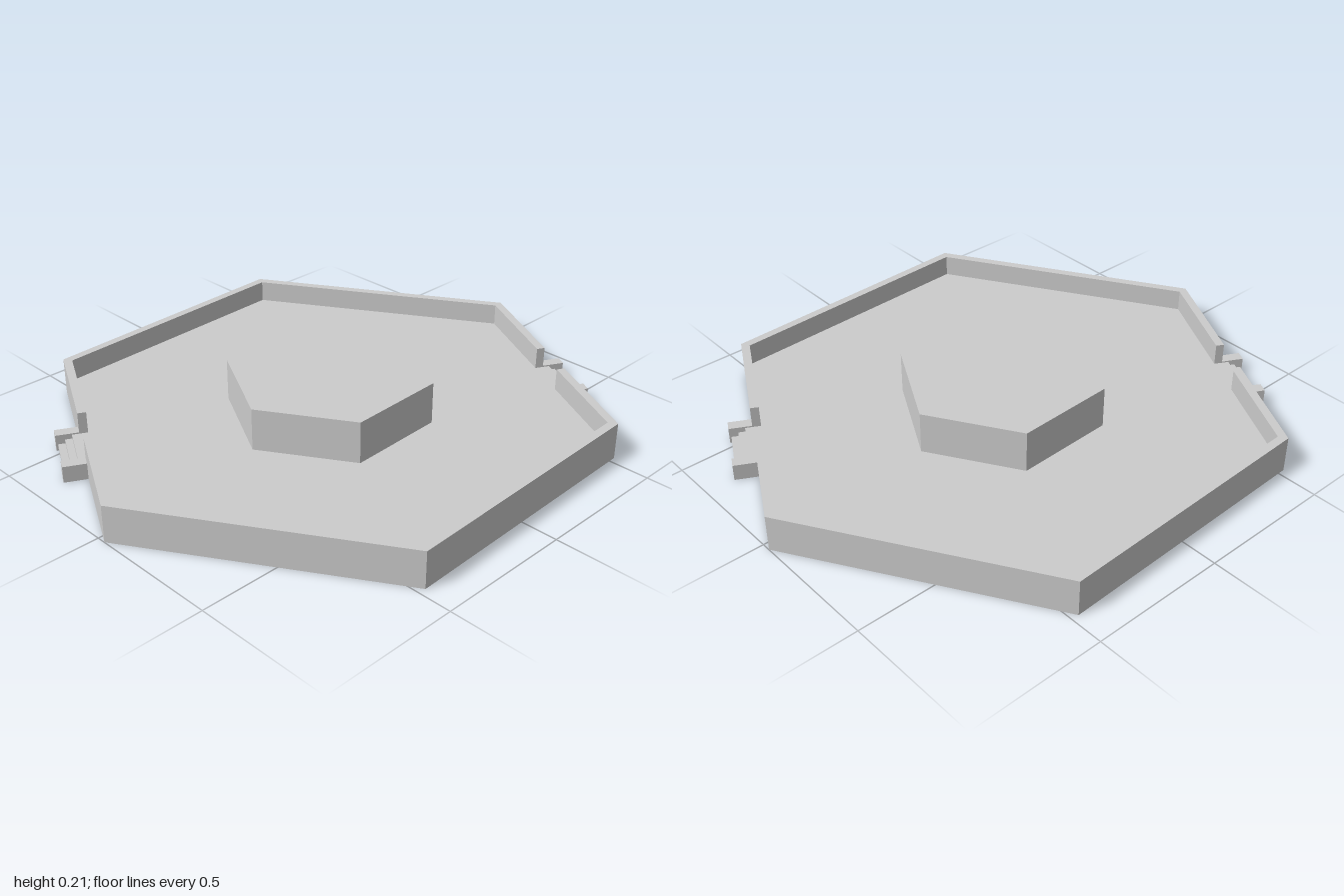
import * as THREE from 'three';

const R = 1, R_IN = 0.965, R_PLATFORM = 0.37;
const WALL_TOP = 0.135, FLOOR_Y = 0.055, PLATFORM_TOP = 0.21;
const GAP = 0.085;                       // half width of each opening
const APOTHEM = Math.cos(Math.PI / 6);

const solid = new THREE.MeshStandardMaterial({ color: 0xcccccc, flatShading: true });
const thin = new THREE.MeshStandardMaterial({ color: 0xcccccc, flatShading: true, side: THREE.DoubleSide });

const corner = (r, deg) => {
  const a = THREE.MathUtils.degToRad(deg);
  return new THREE.Vector2(r * Math.cos(a), r * Math.sin(a));
};

// Point on the side facing `deg`, shifted by t along that side
const onSide = (r, deg, t) => corner(r * APOTHEM, deg).add(corner(t, deg + 90));

const hexagon = (r) => [0, 60, 120, 180, 240, 300].map((d) => corner(r, d));

function add(parent, name, geometry, material) {
  const mesh = new THREE.Mesh(geometry, material);
  mesh.name = name;
  parent.add(mesh);
  return mesh;
}

function box(parent, name, x0, x1, y0, y1, z0, z1) {
  const g = new THREE.BoxGeometry(x1 - x0, y1 - y0, z1 - z0);
  g.translate((x0 + x1) / 2, (y0 + y1) / 2, (z0 + z1) / 2);
  return add(parent, name, g, solid);
}

// Half of the rim wall, running from one opening to the other
function wallGeometry() {
  const run = (r) => [onSide(r, 30, GAP), corner(r, 60), corner(r, 120), corner(r, 180), onSide(r, 210, -GAP)];
  const shape = new THREE.Shape([...run(R), ...run(R_IN).reverse()]);
  const g = new THREE.ExtrudeGeometry(shape, { depth: WALL_TOP, bevelEnabled: false });
  return g.rotateX(Math.PI / 2).translate(0, WALL_TOP, 0);
}

// Stairs: local x points outward, z runs along the side
function createStairs() {
  const stairs = new THREE.Group();
  stairs.name = 'stairs';
  for (const s of [-1, 1]) {
    const z = s * 0.105;
    box(stairs, 'stairCheek', APOTHEM, APOTHEM + 0.082, 0, 0.06, z - 0.02, z + 0.02);
  }
  const treads = [[0.045, 0.075], [0.02, 0.05], [-0.031, 0.025]];
  treads.forEach(([inner, outer], i) => {
    const y = 0.01 + i * 0.015;
    box(stairs, 'stairTread', APOTHEM + inner, APOTHEM + outer, y, y + 0.015, -GAP, GAP);
  });
  return stairs;
}

export function createModel() {
  const model = new THREE.Group();
  model.name = 'hexagonalArena';

  // Thin raised floor, open beneath the platform
  const floorShape = new THREE.Shape(hexagon(R_IN));
  floorShape.holes.push(new THREE.Path(hexagon(R_PLATFORM).reverse()));
  add(model, 'floor', new THREE.ShapeGeometry(floorShape).rotateX(-Math.PI / 2).translate(0, FLOOR_Y, 0), thin);

  // Central hollow platform
  const h = PLATFORM_TOP - FLOOR_Y;
  const sides = new THREE.CylinderGeometry(R_PLATFORM, R_PLATFORM, h, 6, 1, true, Math.PI / 2);
  add(model, 'platformSides', sides.translate(0, FLOOR_Y + h / 2, 0), thin);
  const top = new THREE.ShapeGeometry(new THREE.Shape(hexagon(R_PLATFORM)));
  add(model, 'platformTop', top.rotateX(-Math.PI / 2).translate(0, PLATFORM_TOP, 0), thin);

  // Two wall halves and two opposite stairs
  for (const turn of [0, Math.PI]) {
    add(model, 'rimWall', wallGeometry(), solid).rotation.y = turn;
    const stairs = createStairs();
    stairs.rotation.y = turn - Math.PI / 6;
    model.add(stairs);
  }

  model.rotation.y = THREE.MathUtils.degToRad(1.8);
  return model;
}
